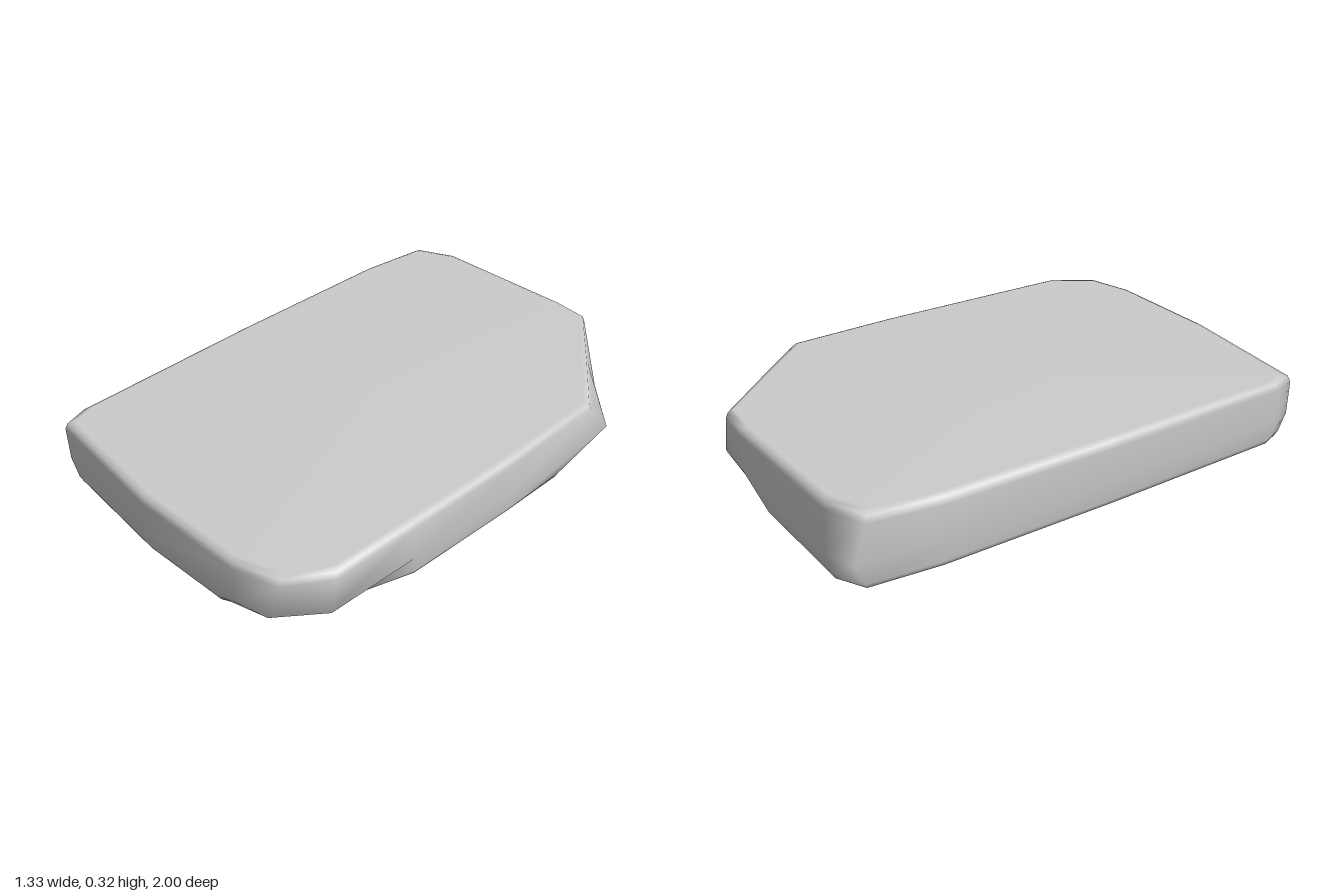
import * as THREE from 'three';

// Outlines of the slab as [x, z], counter-clockwise from above, starting at the front corner on -x
const LOWER = [
  [-0.63, 0.88], [-0.60, 0.96], [-0.10, 0.98], [0.28, 0.95], [0.42, 0.88], [0.58, 0.60], [0.645, 0.38], [0.65, -0.10],
  [0.645, -0.38], [0.51, -0.72], [0.14, -0.96], [-0.05, -0.98], [-0.52, -0.945], [-0.62, -0.88], [-0.645, -0.6], [-0.645, 0.1],
];
const MIDDLE = [
  [-0.645, 0.90], [-0.62, 0.97], [-0.08, 1.0], [0.40, 0.97], [0.53, 0.935], [0.655, 0.77], [0.66, 0.40], [0.66, -0.10],
  [0.65, -0.65], [0.45, -0.825], [0.25, -1.0], [0.10, -1.0], [-0.51, -0.965], [-0.63, -0.92], [-0.655, -0.6], [-0.655, 0.1],
];
const UPPER = [
  [-0.65, 0.88], [-0.62, 0.97], [-0.08, 0.995], [0.38, 0.96], [0.55, 0.90], [0.65, 0.74], [0.655, 0.40], [0.66, -0.10],
  [0.645, -0.54], [0.45, -0.76], [0.24, -0.99], [0.10, -0.995], [-0.48, -0.945], [-0.625, -0.87], [-0.66, -0.6], [-0.665, 0.1],
];

// Slightly tilted, non-parallel top and bottom planes
const topY = (x, z) => 0.303 - 0.006 * x - 0.016 * z;
const bottomY = (x, z) => 0.018 + 0.013 * x - 0.01 * z;

// One cross-section: inset pulls it inwards, t runs from the bottom plane (0) to the top plane (1)
function ring(outline, inset, t) {
  return outline.map(([px, pz]) => {
    const x = px * (1 - inset / 0.66), z = pz * (1 - inset);
    return [x, THREE.MathUtils.lerp(bottomY(x, z), topY(x, z), t), z];
  });
}

// Skins stacked rings and closes both ends with fans
function loft(rings) {
  const n = rings[0].length, last = (rings.length - 1) * n;
  const position = rings.flat(2), index = [];
  for (let r = 0; r < rings.length - 1; r++) {
    for (let i = 0; i < n; i++) {
      const a = r * n + i, b = r * n + (i + 1) % n;
      index.push(a, b, b + n, a, b + n, a + n);
    }
  }
  const low = position.length / 3, high = low + 1;
  position.push(0, bottomY(0, 0), 0, 0, topY(0, 0), 0);
  for (let i = 0; i < n; i++) {
    const j = (i + 1) % n;
    index.push(low, j, i, high, last + i, last + j);
  }
  const geometry = new THREE.BufferGeometry();
  geometry.setAttribute('position', new THREE.Float32BufferAttribute(position, 3));
  geometry.setIndex(index);
  geometry.computeVertexNormals();
  return geometry;
}

export function createModel() {
  const group = new THREE.Group();
  group.name = 'stone';

  // Flat slab with softened rims and cut corners
  const slab = new THREE.Mesh(
    loft([
      ring(LOWER, 0.03, 0),
      ring(LOWER, 0.008, 0.03),
      ring(LOWER, 0, 0.1),
      ring(MIDDLE, 0, 0.4),
      ring(UPPER, 0, 0.88),
      ring(UPPER, 0.009, 0.965),
      ring(UPPER, 0.03, 1),
    ]),
    new THREE.MeshStandardMaterial({ color: 0xcccccc }),
  );
  slab.name = 'stoneSlab';
  group.add(slab);
  return group;
}
